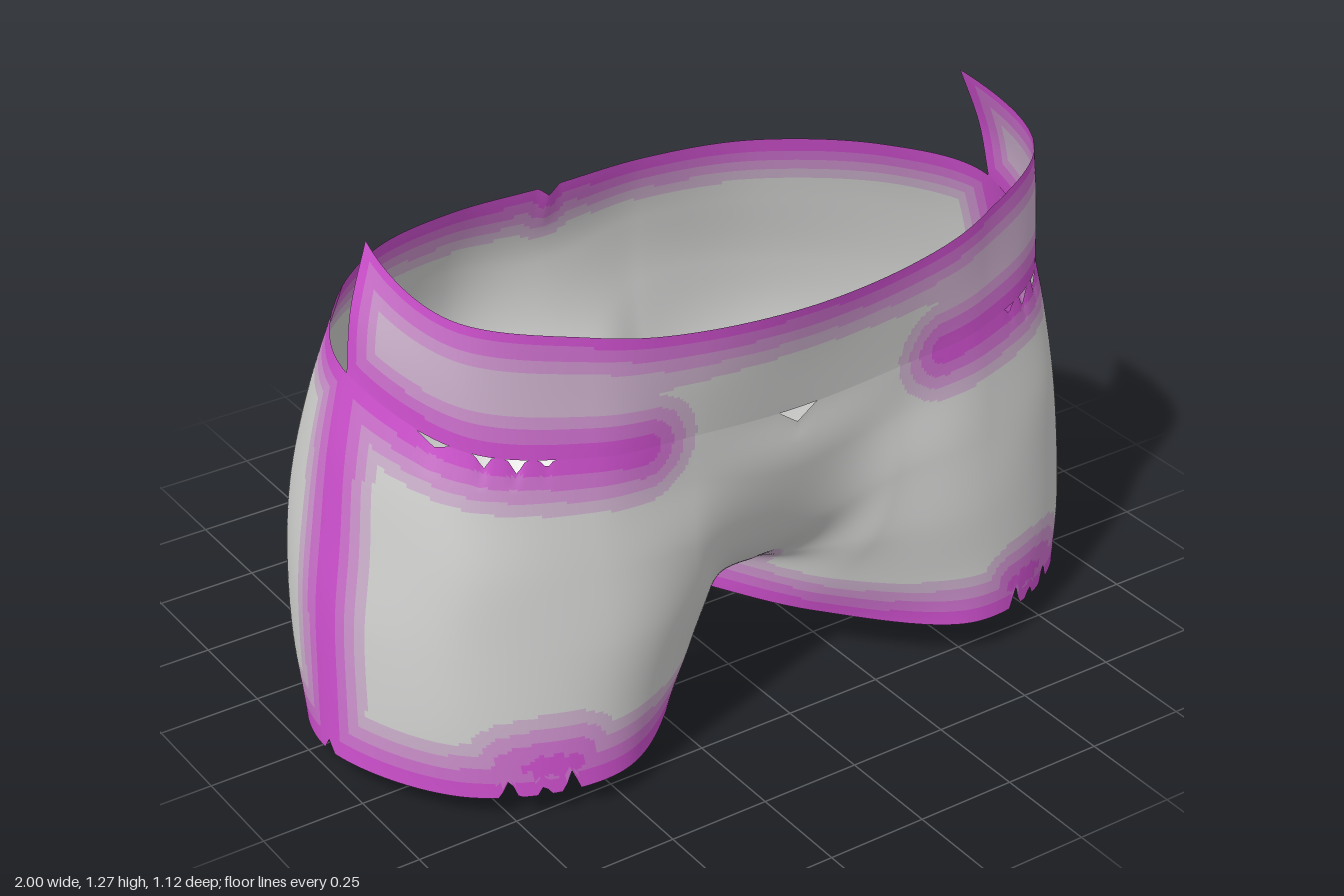
import * as THREE from 'three';

// Five flat tones, from plain cloth to the strongest seam marking
const TONES = [['clothGrey', 0xd0d0cf], ['paleMauve', 0xcbb0cb], ['mauve', 0xcc92cc], ['orchid', 0xcd70cd], ['magentaEdge', 0xce50ce]];
const LIMITS = [0.13, 0.1, 0.07, 0.037];
const U = 34, V = 20; // subdivisions per control span

// Half-body cross-sections from hem to waist: centre front -> side seam
const FRONT = [
  [[.02, .12, .04], [.2, .12, .33], [.5, .1, .555], [.83, .09, .44], [1, .09, .105]],
  [[0, .23, .04], [.21, .25, .405], [.52, .23, .555], [.85, .24, .425], [.995, .25, .1]],
  [[0, .29, .26], [.25, .39, .49], [.53, .4, .55], [.85, .42, .41], [.985, .42, .09]],
  [[0, .43, .42], [.28, .56, .52], [.54, .58, .528], [.83, .6, .405], [.96, .6, .085]],
  [[0, .66, .5], [.28, .72, .51], [.54, .74, .507], [.815, .76, .38], [.93, .79, .075]],
  [[0, .82, .505], [.28, .84, .51], [.53, .86, .495], [.785, .9, .37], [.885, .98, .065]],
];
// The same sections continued behind the side seam -> centre back
const BACK = [
  [[.88, .07, -.2], [.6, .03, -.35], [.25, .06, -.275], [.02, .12, .02]],
  [[.91, .23, -.21], [.61, .21, -.43], [.25, .21, -.36], [0, .23, .02]],
  [[.91, .42, -.22], [.61, .42, -.49], [.27, .39, -.5], [0, .29, -.27]],
  [[.89, .6, -.22], [.6, .6, -.49], [.28, .6, -.558], [0, .5, -.485]],
  [[.84, .8, -.21], [.57, .79, -.46], [.28, .78, -.555], [0, .74, -.557]],
  [[.77, .99, -.2], [.54, .978, -.42], [.28, .965, -.51], [0, .958, -.518]],
];
// Raised front waistband, ending in a loose tip at each side
const BAND = [
  FRONT[5],
  [[0, .96, .53], [.29, .98, .525], [.53, 1, .487], [.79, 1.05, .355], [.86, 1.12, .05]],
  [[0, 1.1, .56], [.3, 1.11, .535], [.53, 1.145, .485], [.785, 1.2, .34], [.807, 1.265, .035]],
];

const vec = (p) => new THREE.Vector3(...p);
const mirrorX = (p) => new THREE.Vector3(-p.x, p.y, p.z);
const extend = (a, b) => a.clone().multiplyScalar(2).sub(b);

// Catmull-Rom through points with explicit outer neighbours
function spline(pts, before, after, steps) {
  const p = [before, ...pts, after], out = [];
  for (let i = 0; i < pts.length - 1; i++) {
    for (let s = 0; s < steps; s++) {
      const t = s / steps, t2 = t * t, t3 = t2 * t;
      const w = [-t3 + 2 * t2 - t, 3 * t3 - 5 * t2 + 2, -3 * t3 + 4 * t2 + t, t3 - t2];
      const q = new THREE.Vector3();
      w.forEach((k, j) => q.addScaledVector(p[i + j], k / 2));
      out.push(q);
    }
  }
  out.push(pts[pts.length - 1].clone());
  return out;
}

// Outer neighbours of a row: the lowest body rows pinch together at the crotch,
// and the waistband tips curl inwards
const bodyEnds = (p, i) => (i < 2
  ? [extend(p[0], p[1]), extend(p[8], p[7])]
  : [mirrorX(p[1]), mirrorX(p[7])]);
const bandEnds = (p, i) => [mirrorX(p[1]), extend(p[4], p[3]).setX(p[3].x - .06 * i)];

// Skin control rows into a fine grid[row][column]
function skin(rows, ends) {
  const across = rows.map((r, i) => {
    const p = r.map(vec);
    return spline(p, ...ends(p, i), U);
  });
  const columns = across[0].map((_, c) => {
    const p = across.map((r) => r[c]), n = p.length;
    return spline(p, extend(p[0], p[1]), extend(p[n - 1], p[n - 2]), V);
  });
  return columns[0].map((_, r) => columns.map((col) => col[r]));
}

// Small torn nicks: [x, half width, depth]
const WAIST_NICKS = [[0, .05, .035], [.63, .015, .02], [.69, .018, .035], [.75, .015, .03], [.82, .02, .02]];
const BACK_NICKS = [[0, .03, .025]];
const HEM_NICKS = [[.63, .018, .055], [.69, .012, .03], [.76, .018, .05]];
const nick = (list, x) => list.reduce((d, [c, w, h]) => Math.max(d, h * (1 - Math.abs(x - c) / w)), 0);

function tearEdges(grid) {
  const top = grid.length - 1, seam = 4 * U, reach = 12;
  const upper = grid[top].map((p, c) => nick(c <= seam ? WAIST_NICKS : BACK_NICKS, p.x));
  const lower = grid[0].map((p, c) => (c < seam - 4 ? nick(HEM_NICKS, p.x) : nick([[seam, 2, .03]], c)));
  grid[0].forEach((_, c) => {
    for (let k = 0; k < reach; k++) {
      grid[top - k][c].y -= upper[c] * (1 - k / reach);
      grid[k][c].y += lower[c] * (1 - k / reach);
    }
  });
}

// Tone index from the nearest marked line; offset and cap soften a line
function toneAt(p, lines) {
  let tone = 0;
  for (const { points, offset = 0, cap = 4 } of lines) {
    let d = Infinity;
    for (const q of points) d = Math.min(d, p.distanceTo(q) + offset);
    tone = Math.max(tone, Math.min(cap, LIMITS.filter((l) => d < l).length));
  }
  return tone;
}

// Classify every grid cell
function classify(grid, lines, floor) {
  return grid.slice(0, -1).map((row, r) => row.slice(0, -1).map((a, c) => {
    const m = a.clone().add(row[c + 1]).add(grid[r + 1][c]).add(grid[r + 1][c + 1]).divideScalar(4);
    return Math.max(toneAt(m, lines), floor(m));
  }));
}

// Turn columns c0..c1 of a grid into a mesh, one group for each tone
function panel(name, grid, c0, c1, tones, materials, side) {
  const cols = grid[0].length, rows = grid.length;
  const pos = [], all = [], part = TONES.map(() => []);
  grid.forEach((row, r) => row.forEach((p) => {
    // the hem hangs a little lower on the right leg
    const drop = side < 0 && rows > 3 * V ? .03 * Math.max(0, 1 - r / (2 * V)) * Math.min(1, p.x / .4) : 0;
    pos.push(side * p.x, p.y - drop, p.z);
  }));
  for (let r = 0; r < rows - 1; r++) {
    for (let c = 0; c < cols - 1; c++) {
      const a = r * cols + c, b = a + 1, d = a + cols, e = d + 1;
      const quad = side > 0 ? [a, b, e, a, e, d] : [a, e, b, a, d, e];
      all.push(...quad);
      if (c >= c0 && c < c1) part[tones[r][c]].push(...quad);
    }
  }
  const geo = new THREE.BufferGeometry();
  geo.setAttribute('position', new THREE.Float32BufferAttribute(pos, 3));
  geo.setIndex(all);
  geo.computeVertexNormals();
  // keep shading continuous over the centre line
  const nor = geo.attributes.normal;
  for (let i = 0; i < nor.count; i++) {
    if (Math.abs(pos[i * 3]) < 1e-4) {
      const l = Math.hypot(nor.getY(i), nor.getZ(i)) || 1;
      nor.setXYZ(i, 0, nor.getY(i) / l, nor.getZ(i) / l);
    }
  }
  geo.setIndex(part.flat());
  let start = 0;
  part.forEach((list, m) => {
    if (list.length) geo.addGroup(start, list.length, m);
    start += list.length;
  });
  const mesh = new THREE.Mesh(geo, materials);
  mesh.name = name;
  return mesh;
}

export function createModel() {
  const group = new THREE.Group();
  group.name = 'shorts';
  const materials = TONES.map(([name, color]) => {
    const m = new THREE.MeshStandardMaterial({ color, side: THREE.DoubleSide });
    m.name = name;
    return m;
  });

  const body = skin(FRONT.map((r, i) => [...r, ...BACK[i]]), bodyEnds);
  const band = skin(BAND, bandEnds);
  const top = body[body.length - 1], seam = 4 * U;
  const tear = top.filter((p, c) => c <= seam && p.x > .4).map((p) => p.clone());
  const crotch = body.flatMap((r) => [r[0], r[r.length - 1]])
    .filter((p) => p.y < .36 && Math.abs(p.z) > .19 && Math.abs(p.z) < .28);
  const lines = [
    { points: body[0].map((p) => p.clone()) },    // leg hem
    { points: body.map((r) => r[seam]) },         // side seam
    { points: top.slice(seam) },                  // back waist
    { points: tear },                             // torn front waist
    { points: crotch, offset: .02, cap: 1 },      // crotch halo
    { points: crotch, offset: .045, cap: 2 },     // crotch core
    { points: [.62, .66, .7, .74, .78].map((x) => new THREE.Vector3(x, .16, .53)), offset: .01 }, // torn hem
  ];
  tearEdges(body);
  const bandLines = [
    { points: band[band.length - 1], offset: .012 },
    { points: band.map((r) => r[r.length - 1]) },
    { points: tear },
  ];
  const mauveAbove = (p) => (p.y > .98 ? 1 : 0);
  const bodyTones = classify(body, lines, () => 0);
  const bandTones = classify(band, bandLines, mauveAbove);

  for (const [label, side] of [['left', 1], ['right', -1]]) {
    group.add(
      panel(label + 'FrontPanel', body, 0, seam, bodyTones, materials, side),
      panel(label + 'BackPanel', body, seam, 8 * U, bodyTones, materials, side),
      panel(label + 'Waistband', band, 0, seam, bandTones, materials, side),
    );
  }
  return group;
}
